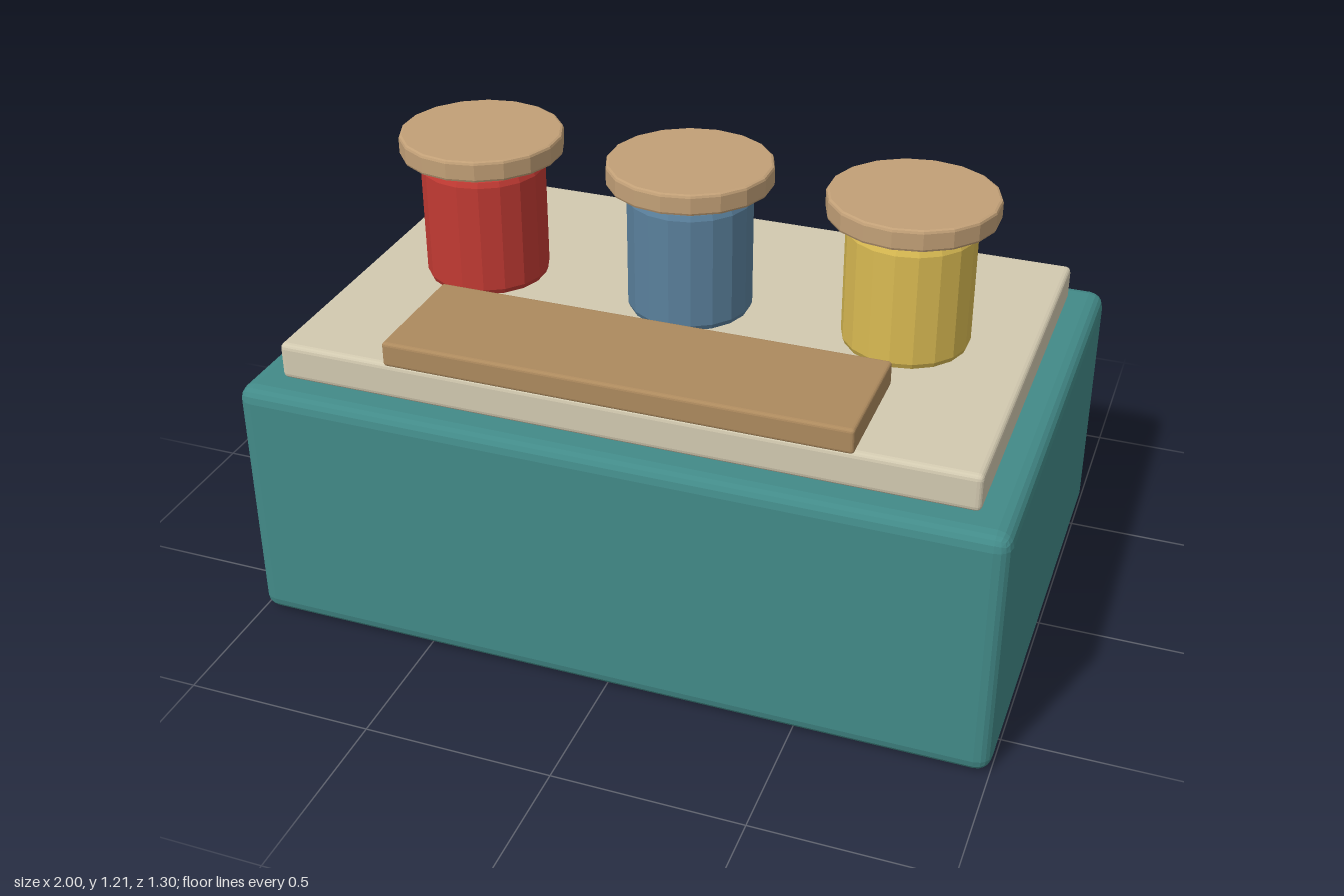
import * as THREE from 'three';
import { RoundedBoxGeometry } from 'three/addons/geometries/RoundedBoxGeometry.js';

const material = (color) => new THREE.MeshStandardMaterial({ color, flatShading: true });

// Box with bevelled edges, resting on height y
function slab(name, [w, h, d], y, z, bevel, color) {
  const mesh = new THREE.Mesh(new RoundedBoxGeometry(w, h, d, 2, bevel), material(color));
  mesh.name = name;
  mesh.position.set(0, y + h / 2, z);
  return mesh;
}

// Faceted cylinder with bevelled rims, resting on height y
function drum(name, radius, height, y, bevel, color) {
  const profile = [
    [0, 0], [radius - bevel, 0], [radius - bevel * 0.3, bevel * 0.3], [radius, bevel],
    [radius, height - bevel], [radius - bevel * 0.3, height - bevel * 0.3],
    [radius - bevel, height], [0, height],
  ].map(([r, h]) => new THREE.Vector2(r, h));
  const mesh = new THREE.Mesh(new THREE.LatheGeometry(profile, 18), material(color));
  mesh.name = name;
  mesh.position.y = y;
  return mesh;
}

export function createModel() {
  const model = new THREE.Group();
  model.name = 'counterWithJars';

  // Counter, worktop and cutting board
  model.add(
    slab('counterBody', [2, 0.695, 1.3], 0, 0, 0.04, 0x428a88),
    slab('worktop', [1.82, 0.1, 1.126], 0.695, 0, 0.015, 0xd2c9b0),
    slab('cuttingBoard', [1.214, 0.067, 0.345], 0.795, 0.402, 0.009, 0xad8a5e),
  );

  // Three jars with lids hovering just above them
  [[-0.583, 0xc23a33], [0, 0x5a809c], [0.583, 0xd9ba52]].forEach(([x, color]) => {
    const jar = new THREE.Group();
    jar.name = 'jar';
    jar.position.x = x;
    jar.add(
      drum('jarBody', 0.165, 0.335, 0.795, 0.02, color),
      drum('jarLid', 0.217, 0.057, 1.149, 0.008, 0xc2a077),
    );
    model.add(jar);
  });

  return model;
}
